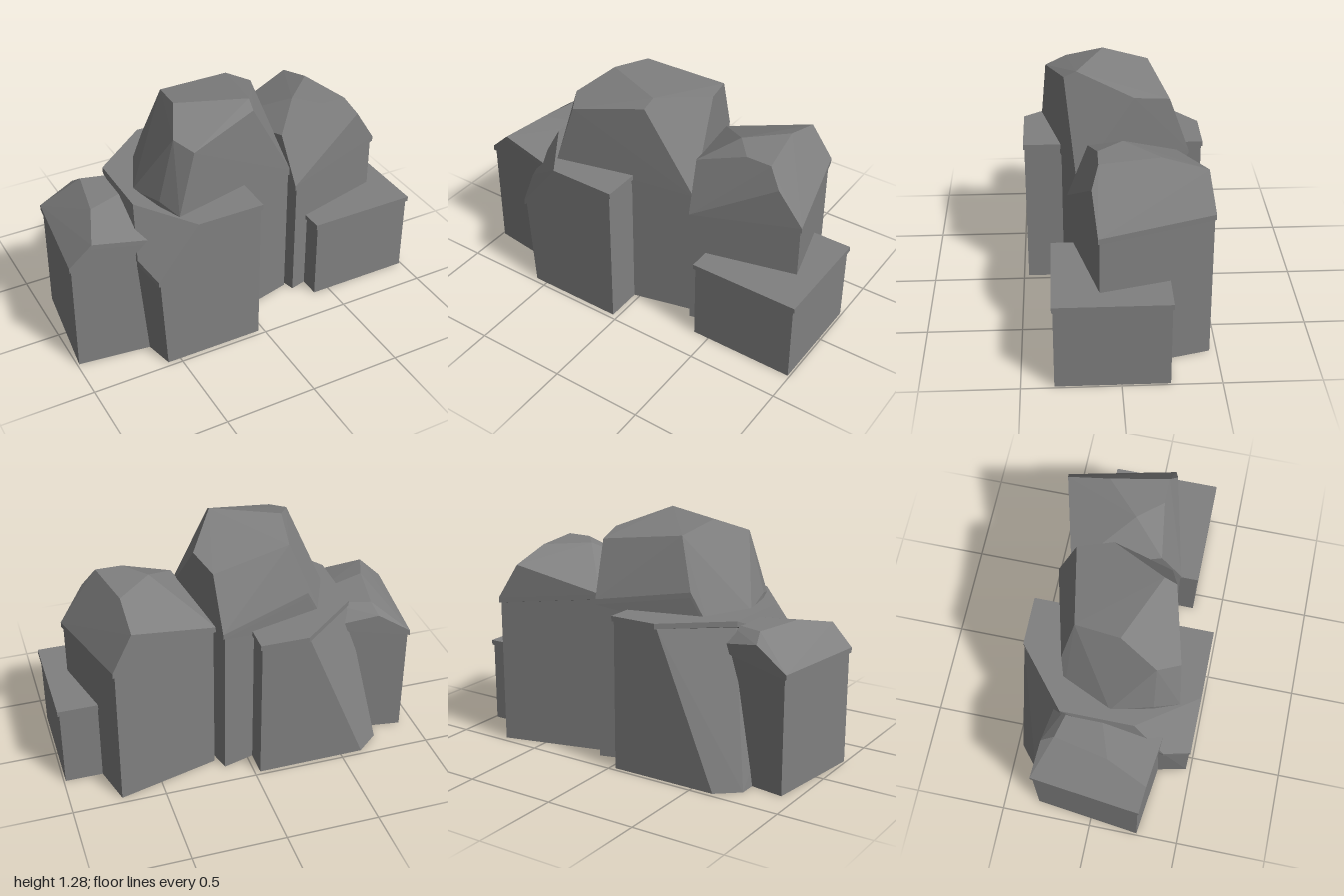
import * as THREE from 'three';
import { ConvexGeometry } from 'three/addons/geometries/ConvexGeometry.js';

const LIP = 0.028;   // height of the rim band
const INSET = 0.013; // how far the body sits behind the rim

// A boulder: faceted cap with a slightly overhanging rim, on a cut-stone body.
// base: [x, z] ground corners; rim: [x, y, z] wall tops; crown: [x, y, z] cap corners
function boulder(name, material, { base, rim, crown = [] }) {
  const group = new THREE.Group();
  group.name = name;
  const v = (p) => new THREE.Vector3(...p);
  const centre = rim.reduce((c, p) => c.add(v(p)), new THREE.Vector3()).divideScalar(rim.length);

  const inset = (x, y, z) => new THREE.Vector3(
    x - Math.sign(x - centre.x) * INSET * 0.8, y, z - Math.sign(z - centre.z) * INSET * 0.5);

  const bodyPoints = [
    ...base.map(([x, z]) => inset(x, 0, z)),
    ...rim.map(([x, y, z]) => inset(x, y - LIP, z)),
  ];
  const capPoints = [
    ...rim.map(v),
    ...rim.map(([x, y, z]) => new THREE.Vector3(x, y - LIP, z)),
    ...crown.map(v),
  ];
  for (const [part, points] of [['Body', bodyPoints], ['Cap', capPoints]]) {
    const mesh = new THREE.Mesh(new ConvexGeometry(points), material);
    mesh.name = name + part;
    group.add(mesh);
  }
  return group;
}

export function createModel() {
  const stone = new THREE.MeshStandardMaterial({ color: 0x808080 });
  stone.name = 'grey stone';

  const model = new THREE.Group();
  model.name = 'rockCluster';

  // tall rock in the middle
  model.add(boulder('tallRock', stone, {
    base: [[-0.44, 0.38], [0.305, 0.2], [0.15, -0.39], [-0.45, -0.23], [-0.54, 0.03], [-0.49, 0.25]],
    rim: [
      [-0.44, 0.83, 0.38], [-0.34, 1.16, 0.352], [0.04, 1.245, 0.255], [0.305, 0.78, 0.2],
      [0.22, 1.2, -0.1], [0.17, 1.17, -0.285], [0.15, 0.87, -0.39], [-0.35, 0.95, -0.26],
      [-0.45, 0.76, -0.23], [-0.54, 0.82, 0.03], [-0.49, 0.86, 0.25],
    ],
    crown: [[-0.4, 1.19, 0.24], [0.05, 1.28, 0.19], [-0.3, 1.27, 0.04], [-0.26, 1.22, -0.2]],
  }));

  // wide flat-topped rock running front to back, with two corners split off
  model.add(boulder('flatRock', stone, {
    base: [[-0.02, 0.48], [-0.58, 0.48], [-0.75, -0.29], [-0.75, -0.38], [-0.63, -0.48], [-0.02, -0.485]],
    rim: [
      [-0.02, 0.83, 0.48], [-0.385, 0.83, 0.48], [-0.61, 0.545, 0.48], [-0.66, 0.61, 0.34],
      [-0.6, 0.83, 0.17], [-0.6, 0.83, -0.22], [-0.28, 0.83, -0.485], [-0.02, 0.83, -0.485],
    ],
  }));

  // broad rock on the model's left
  model.add(boulder('broadRock', stone, {
    base: [[0.31, 0.25], [0.89, 0.11], [0.74, -0.47], [0.17, -0.325]],
    rim: [
      [0.31, 0.7, 0.25], [0.76, 0.97, 0.135], [0.89, 0.775, 0.11], [0.74, 0.81, -0.47],
      [0.63, 1.0, -0.44], [0.17, 0.88, -0.325], [0.28, 0.97, 0.14],
    ],
    crown: [
      [0.69, 1.07, 0.1], [0.55, 1.07, 0.1], [0.44, 1.07, -0.03], [0.63, 1.07, -0.21],
    ],
  }));

  // sloping rock on the model's right
  model.add(boulder('slopingRock', stone, {
    base: [[-1, 0.275], [-0.5, 0.335], [-0.5, -0.255], [-0.93, -0.315]],
    rim: [
      [-1, 0.635, 0.275], [-0.88, 0.75, 0.29], [-0.5, 0.69, 0.335], [-0.5, 0.71, -0.255],
      [-0.75, 0.75, -0.29], [-0.93, 0.635, -0.315],
    ],
    crown: [[-0.79, 0.8, 0.07], [-0.5, 0.8, -0.03], [-0.5, 0.8, -0.16], [-0.73, 0.8, -0.22]],
  }));

  // low block at the front
  const corners = [[0.4, 0.34], [1, 0.34], [1, -0.25], [0.4, -0.25]];
  model.add(boulder('lowRock', stone, {
    base: corners,
    rim: corners.map(([x, z]) => [x, 0.47, z]),
  }));

  return model;
}
